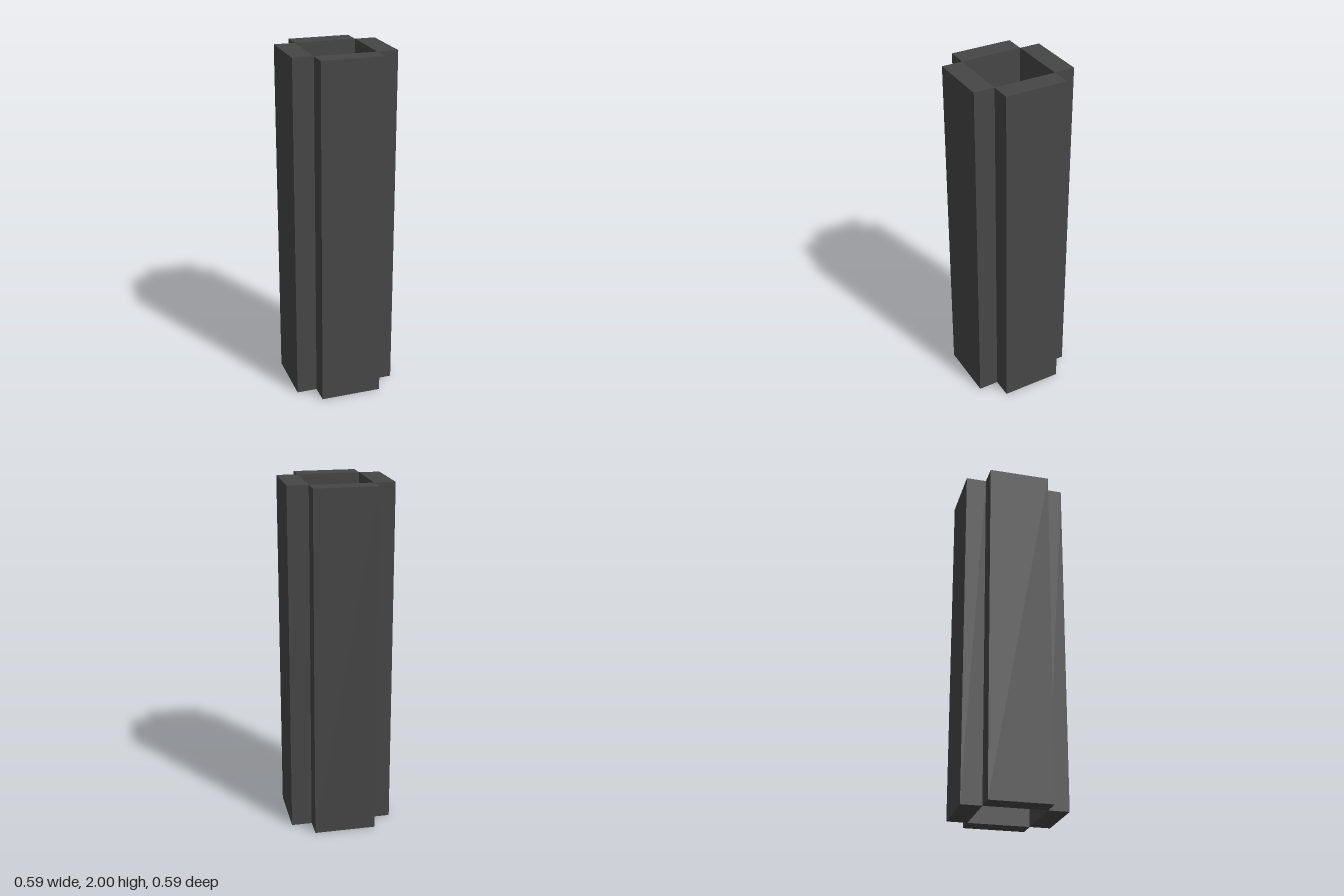
import * as THREE from 'three';

const HEIGHT = 2;
const WIDTH = 6 / 17;      // width of each slab
const THICKNESS = 2 / 17;  // wall thickness
const OFFSET = 4 / 17;     // slab centre from the axis

export function createModel() {
  const group = new THREE.Group();
  group.name = 'hollowColumn';

  const charcoal = new THREE.MeshStandardMaterial({ color: 0x464646 });
  charcoal.name = 'charcoal';

  // Four slabs meeting edge to edge around an open square shaft
  const slab = new THREE.BoxGeometry(WIDTH, HEIGHT, THICKNESS);
  slab.translate(0, HEIGHT / 2, OFFSET);

  ['frontWall', 'leftWall', 'backWall', 'rightWall'].forEach((name, i) => {
    const wall = new THREE.Mesh(slab, charcoal);
    wall.name = name;
    wall.rotation.y = (i * Math.PI) / 2;
    group.add(wall);
  });

  return group;
}
